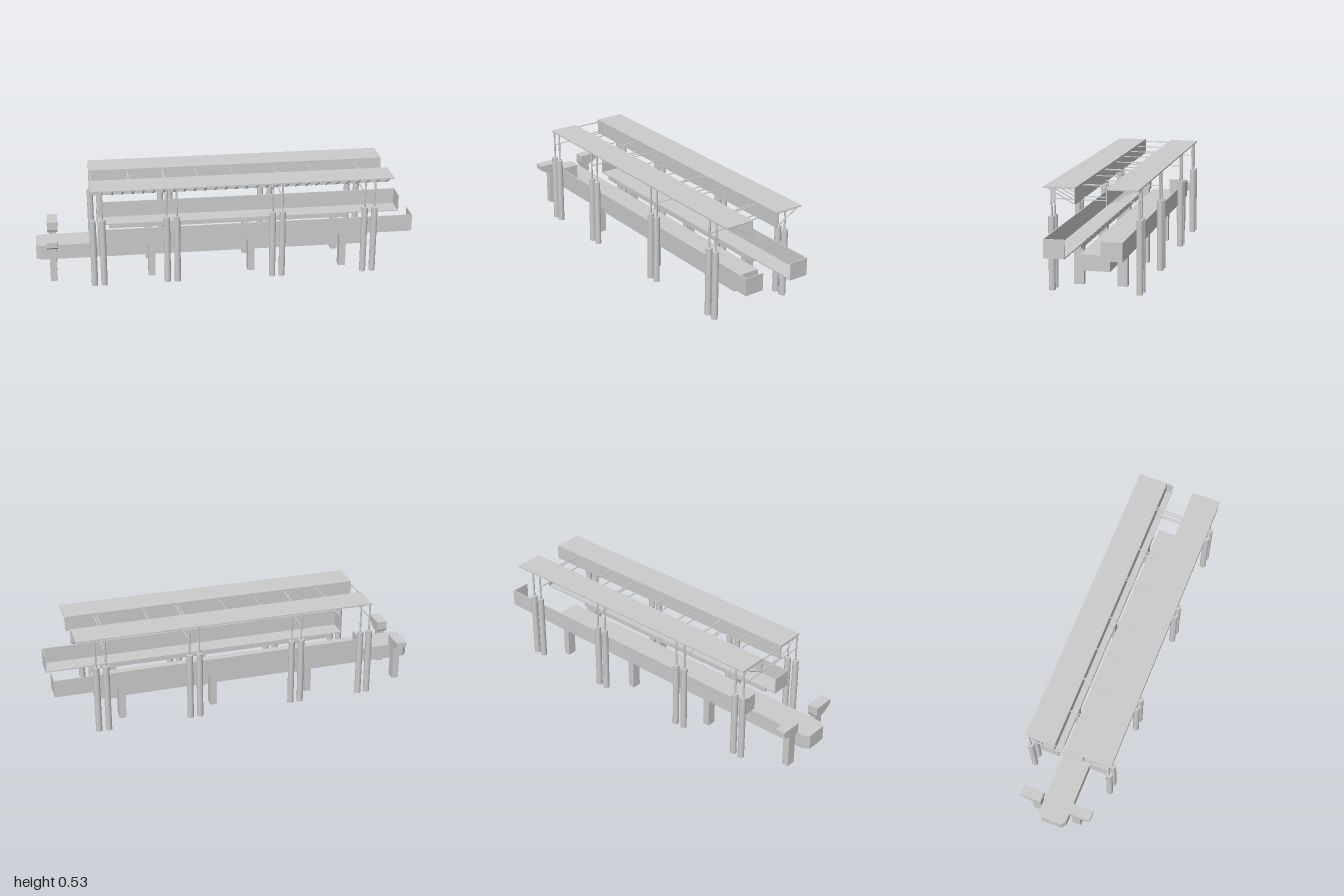
import * as THREE from 'three';

const material = new THREE.MeshStandardMaterial({ color: 0xcccccc, flatShading: true });
const smooth = new THREE.MeshStandardMaterial({ color: 0xcccccc });

function add(parent, name, geometry, mat = material) {
  const mesh = new THREE.Mesh(geometry, mat);
  mesh.name = name;
  parent.add(mesh);
  return mesh;
}

// Box from its x, y and z ranges
function box(parent, name, [x0, x1], [y0, y1], [z0, z1]) {
  const g = new THREE.BoxGeometry(x1 - x0, y1 - y0, Math.abs(z1 - z0));
  g.translate((x0 + x1) / 2, (y0 + y1) / 2, (z0 + z1) / 2);
  return add(parent, name, g);
}

function post(parent, name, x, z, y0, y1, r, sides) {
  const mesh = add(parent, name, new THREE.CylinderGeometry(r, r, y1 - y0, sides), smooth);
  mesh.position.set(x, (y0 + y1) / 2, z);
}

// Flat outline of [u, v] points, extruded
function prism(points, depth) {
  const shape = new THREE.Shape(points.map(([u, v]) => new THREE.Vector2(u, v)));
  return new THREE.ExtrudeGeometry(shape, { depth, bevelEnabled: false });
}

export function createModel() {
  const model = new THREE.Group();
  model.name = 'coveredConveyorStation';

  // Lower works sit slightly forward of the canopy
  const lower = new THREE.Group();
  lower.name = 'lowerWorks';
  lower.position.z = 0.008;
  model.add(lower);

  // Central beam with a chamfered end
  const deck = add(lower, 'centralBeam', prism([
    [0.77, -0.076], [0.77, 0.076], [-0.975, 0.076], [-1, 0.055], [-1, -0.055], [-0.975, -0.076],
  ], 0.08));
  deck.rotation.x = -Math.PI / 2;
  deck.position.y = 0.1;

  const pillarX = [-0.7, -0.65, -0.315, -0.262, 0.243, 0.295, 0.735, 0.787];
  const pierX = [-0.912, -0.392, 0.142, 0.64];

  for (const s of [1, -1]) {
    const side = s > 0 ? 'front' : 'back';
    const z = (a, b) => [s * a, s * b];

    // Trough open towards the middle: floor, outer wall and end walls
    const trough = new THREE.Group();
    trough.name = side + 'Trough';
    lower.add(trough);
    box(trough, 'troughFloor', [-0.67, 1], [0.21, 0.216], z(0.087, 0.192));
    box(trough, 'troughOuterWall', [-0.67, 1], [0.21, 0.303], z(0.187, 0.192));
    box(trough, 'troughEndWall', [0.995, 1], [0.21, 0.303], z(0.087, 0.192));
    box(trough, 'troughEndWall', [-0.67, -0.665], [0.21, 0.303], z(0.087, 0.192));
    box(trough, 'troughBearer', [-0.605, 0.705], [0.19, 0.21], z(0.086, 0.142));

    // Piers, the first carrying a sloped bracket
    for (const x of pierX)
      box(lower, side + 'Pier', [x - 0.018, x + 0.018], [0, 0.19], z(0.086, 0.136));
    const bracket = add(lower, side + 'Bracket', prism([
      [-0.08, 0.245], [-0.195, 0.245], [-0.195, 0.217], [-0.136, 0.185], [-0.086, 0.185], [-0.08, 0.2],
    ], 0.056));
    bracket.rotation.y = s * Math.PI / 2;
    bracket.position.x = -0.912 - s * 0.028;

    // Pillars with slender posts
    for (const x of pillarX) {
      post(model, side + 'Pillar', x, s * 0.219, 0, 0.368, 0.0168, 16);
      post(model, side + 'Post', x, s * 0.217, 0.368, 0.524, 0.005, 8);
    }

    // Canopy roof with inner valance and diagonal struts
    const canopy = new THREE.Group();
    canopy.name = side + 'Canopy';
    canopy.position.z = -0.002;
    model.add(canopy);
    box(canopy, 'canopyRoof', [-0.705, 0.885], [0.524, 0.531], z(0.075, 0.232));
    box(canopy, 'canopyValance', [-0.705, 0.885], [0.45, 0.524], z(0.075, 0.081));
    for (let i = 0; i < 30; i++) {
      const strut = add(canopy, 'canopyStrut', new THREE.BoxGeometry(0.008, 0.004, 0.15));
      strut.position.set(-0.698 + i * 0.0543, 0.487, s * 0.146);
      strut.rotation.x = -s * Math.atan2(0.072, 0.13);
    }
  }

  // Short ties between the two canopies
  for (const x of [-0.7, -0.5, -0.312, -0.137, 0.052, 0.28, 0.472, 0.72])
    for (const y of [0.458, 0.518])
      box(model, 'canopyTie', [x - 0.003, x + 0.003], [y - 0.002, y + 0.002], [-0.08, 0.08]);

  // Full cross bars joining opposite posts
  for (const x of [-0.7, -0.315, 0.295, 0.735])
    for (const y of [0.445, 0.518])
      box(model, 'crossBar', [x - 0.003, x + 0.003], [y - 0.002, y + 0.002], [-0.217, 0.217]);

  return model;
}
